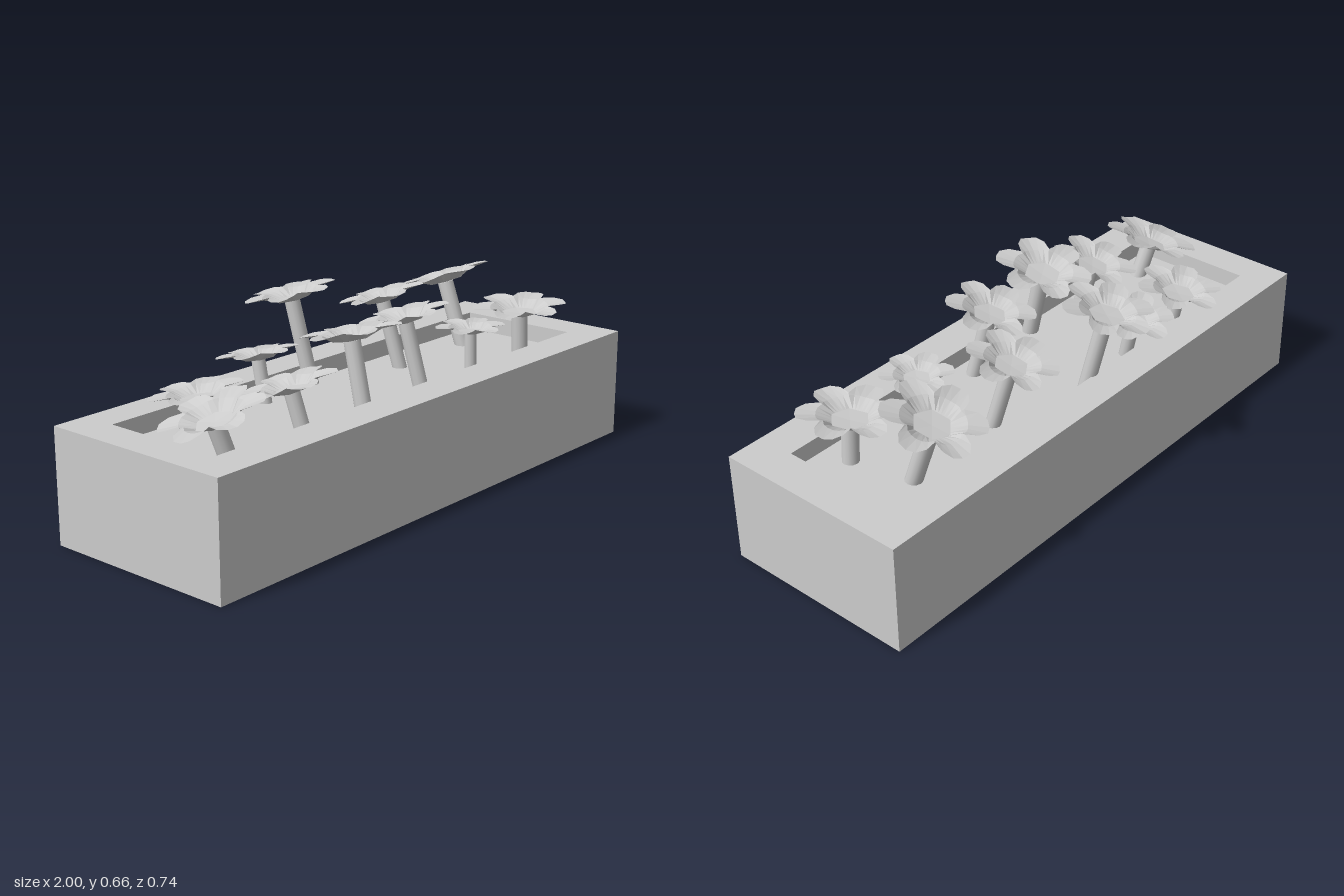
import * as THREE from 'three';

const grey = new THREE.MeshStandardMaterial({ color: 0xcccccc, side: THREE.DoubleSide });
const flat = new THREE.MeshStandardMaterial({ color: 0xcccccc, side: THREE.DoubleSide, flatShading: true });

function addMesh(parent, name, geometry, material = grey) {
  const mesh = new THREE.Mesh(geometry, material);
  mesh.name = name;
  parent.add(mesh);
  return mesh;
}

// Four upright walls round a rectangle, without top or bottom
function addWalls(parent, name, [x0, x1, z0, z1], y0, y1) {
  const w = x1 - x0, d = z1 - z0, h = y1 - y0;
  const cx = (x0 + x1) / 2, cz = (z0 + z1) / 2, cy = (y0 + y1) / 2;
  const sides = [[cx, z1, w, 0], [x1, cz, d, 1], [cx, z0, w, 2], [x0, cz, d, 3]];
  for (const [x, z, width, turn] of sides) {
    const wall = addMesh(parent, name, new THREE.PlaneGeometry(width, h));
    wall.position.set(x, cy, z);
    wall.rotation.y = turn * Math.PI / 2;
  }
}

// Flower of unit radius: flat hexagonal centre, six cupped petals
function flowerGeometry() {
  const step = Math.PI / 18, count = 36;
  // radius and height at 0, 10, 20, 30 degrees away from a petal's middle
  const rings = [
    { r: [0.329, 0.334, 0.35, 0.38], y: [0.05, 0.05, 0.05, 0.05] },
    { r: [0.62, 0.62, 0.61, 0.56], y: [0.17, 0.18, 0.2, 0.22] },
    { r: [1, 0.98, 0.84, 0.62], y: [0.2, 0.22, 0.24, 0.24] },
  ];
  const positions = [0, 0.03, 0], index = [];
  for (const ring of rings) {
    for (let i = 0; i < count; i++) {
      const k = Math.min(i % 6, 6 - (i % 6));
      positions.push(ring.r[k] * Math.cos(i * step), ring.y[k], ring.r[k] * Math.sin(i * step));
    }
  }
  for (let i = 0; i < count; i++) {
    const j = (i + 1) % count;
    index.push(0, 1 + j, 1 + i);
    for (let n = 0; n < rings.length - 1; n++) {
      const a = 1 + n * count, b = a + count;
      index.push(a + i, a + j, b + i, a + j, b + j, b + i);
    }
  }
  const geometry = new THREE.BufferGeometry();
  geometry.setAttribute('position', new THREE.Float32BufferAttribute(positions, 3));
  geometry.setIndex(index);
  geometry.computeVertexNormals();
  return geometry;
}

export function createModel() {
  const model = new THREE.Group();
  model.name = 'flowerPlanter';

  // Planter: open-bottomed shell with a framed top and a recessed bed
  const planter = new THREE.Group();
  planter.name = 'planterBox';
  model.add(planter);
  const outer = [-1, 1, -0.31, 0.37], inner = [-0.88, 0.87, -0.19, 0.24];
  const top = 0.377, bed = 0.317;
  addWalls(planter, 'outerWall', outer, 0, top);
  addWalls(planter, 'innerWall', inner, bed, top);

  const outline = (Type, [x0, x1, z0, z1]) => new Type(
    [[x0, -z0], [x0, -z1], [x1, -z1], [x1, -z0]].map(([x, y]) => new THREE.Vector2(x, y)));
  const rimShape = outline(THREE.Shape, outer);
  rimShape.holes.push(outline(THREE.Path, inner));
  const rim = addMesh(planter, 'rim', new THREE.ShapeGeometry(rimShape));
  rim.rotation.x = -Math.PI / 2;
  rim.position.y = top;
  const soil = addMesh(planter, 'soil', new THREE.ShapeGeometry(outline(THREE.Shape, inner)));
  soil.rotation.x = -Math.PI / 2;
  soil.position.y = bed;

  // Flowers: x, stem top y, z, radius, lean in x, lean in z, turn
  const flowers = [
    [-0.78, 0.425, 0.14, 0.165, -0.3, -0.15, 0.2],
    [-0.485, 0.455, 0.165, 0.15, -0.13, -0.24, 0.15],
    [-0.2, 0.55, 0.155, 0.163, 0, -0.22, 0],
    [0.1, 0.545, 0.125, 0.15, -0.1, -0.22, 0.25],
    [0.415, 0.45, 0.15, 0.12, 0, -0.03, 0.35],
    [0.715, 0.455, 0.14, 0.165, -0.06, 0, 0.3],
    [-0.6, 0.4, -0.12, 0.15, -0.08, -0.15, 0.45],
    [-0.29, 0.45, -0.16, 0.135, 0, -0.2, 0.4],
    [-0.07, 0.595, -0.215, 0.155, -0.1, -0.2, 0.5],
    [0.28, 0.54, -0.12, 0.148, -0.1, -0.25, 0.1],
    [0.66, 0.535, -0.145, 0.165, -0.06, -0.32, 0.25],
  ];
  const blossomGeometry = flowerGeometry();
  const up = new THREE.Vector3(0, 1, 0);
  for (const [x, y, z, r, leanX, leanZ, turn] of flowers) {
    const flower = new THREE.Group();
    flower.name = 'flower';
    flower.position.set(x, y, z);
    flower.quaternion.setFromUnitVectors(up, new THREE.Vector3(leanX, 1, leanZ).normalize());
    model.add(flower);

    const blossom = addMesh(flower, 'blossom', blossomGeometry, flat);
    blossom.scale.setScalar(r);
    blossom.rotation.y = turn;

    // The stem runs on down through the soil
    const length = 0.18 + 0.72 * r;
    const stem = addMesh(flower, 'stem', new THREE.CylinderGeometry(r * 0.17, r * 0.17, length, 12));
    stem.position.y = 0.004 - length / 2;
  }
  return model;
}
